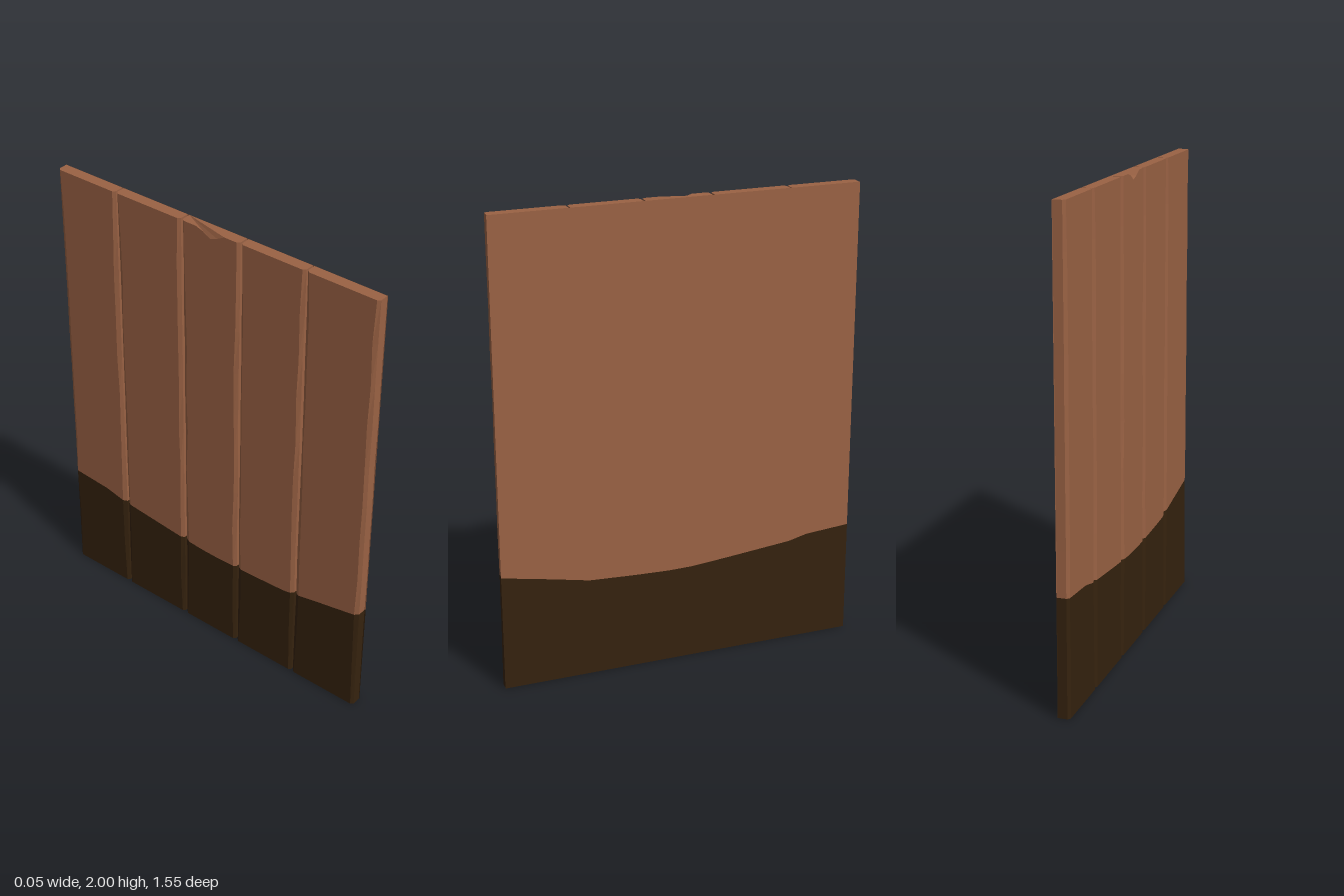
import * as THREE from 'three';

const H = 2, BACK = 0.021, FACE = -0.027;

// height of the dark band, as [z, y] points
const BAND = [[-0.775, 0.495], [-0.58, 0.48], [-0.5, 0.46], [-0.35, 0.445], [-0.2, 0.43], [-0.05, 0.417],
  [0.05, 0.415], [0.2, 0.42], [0.4, 0.43], [0.57, 0.465], [0.65, 0.48], [0.775, 0.505]];
function band(z) {
  for (let i = 1; i < BAND.length; i++) {
    const [z0, y0] = BAND[i - 1], [z1, y1] = BAND[i];
    if (z <= z1 || i === BAND.length - 1) return y0 + (y1 - y0) * THREE.MathUtils.clamp((z - z0) / (z1 - z0), 0, 1);
  }
}

// small seeded generator for the worn edges
let seed = 7;
const rand = () => (seed = (seed * 16807) % 2147483647) / 2147483647;

// closed skin over a stack of equal horizontal loops
function loft(loops, capBottom, capTop) {
  const n = loops[0].length, pos = loops.flat(2), index = [], last = (loops.length - 1) * n;
  for (let j = 0; j < loops.length - 1; j++) {
    for (let i = 0; i < n; i++) {
      const a = j * n + i, b = j * n + (i + 1) % n;
      index.push(a, b, b + n, a, b + n, a + n);
    }
  }
  for (let i = 1; i < n - 1; i++) {
    if (capBottom) index.push(0, i + 1, i);
    if (capTop) index.push(last, last + i, last + i + 1);
  }
  const g = new THREE.BufferGeometry();
  g.setAttribute('position', new THREE.Float32BufferAttribute(pos, 3));
  g.setIndex(index);
  const flat = g.toNonIndexed();
  flat.computeVertexNormals();
  return flat;
}

export function createModel() {
  const group = new THREE.Group();
  const wood = new THREE.MeshStandardMaterial({ color: 0x9a6244, side: THREE.DoubleSide });
  wood.name = 'brown wood';
  const dark = new THREE.MeshStandardMaterial({ color: 0x35220e, side: THREE.DoubleSide });
  dark.name = 'dark wood';
  const add = (geometry, material, name) => {
    const mesh = new THREE.Mesh(geometry, material);
    mesh.name = name;
    group.add(mesh);
  };

  // five planks with bevelled, slightly worn long edges
  const planks = [[-0.773, -0.475], [-0.468, -0.145], [-0.136, 0.142], [0.15, 0.446], [0.453, 0.773]];
  planks.forEach(([z0, z1], k) => {
    // one loop; t runs 0..1 through the dark part, 1..2 through the brown part
    const loop = (t) => {
      const wear = () => (t === 0 || t === 2 ? 0 : rand());
      const c0 = 0.011 + 0.008 * wear(), c1 = 0.011 + 0.008 * wear();
      const s0 = z0 + 0.003 * wear(), s1 = z1 - 0.003 * wear();
      const section = [[BACK, s0], [-0.017, s0], [FACE, s0 + c0]];
      for (let i = 1; i < 8; i++) section.push([FACE, THREE.MathUtils.lerp(z0, z1, i / 8)]);
      section.push([FACE, s1 - c1], [-0.017, s1], [BACK, s1]);
      return section.map(([x, z]) => {
        const b = band(z);
        let y = t <= 1 ? b * t : b + (H - b) * (t - 1);
        // chip in the top edge of the middle plank
        if (k === 2 && t === 2 && x === FACE) y -= 0.035 * Math.max(0, 1 - Math.abs(z - 0.01) / 0.06);
        return [x, y, z];
      });
    };
    const joint = loop(1);
    const lower = [loop(0), loop(0.5), joint];
    const upper = [joint];
    for (let j = 1; j <= 8; j++) upper.push(loop(1 + j / 8));
    add(loft(lower, true, false), dark, `plank${k + 1}Lower`);
    add(loft(upper, false, true), wood, `plank${k + 1}Upper`);
  });

  // flat backing sheet over the full width
  const sheet = (edgeY, material, name) => {
    const shape = new THREE.Shape();
    shape.moveTo(0.775, edgeY);
    BAND.forEach(([z, y]) => shape.lineTo(-z, y));
    shape.lineTo(-0.775, edgeY);
    const g = new THREE.ShapeGeometry(shape);
    g.rotateY(Math.PI / 2);
    g.translate(0.022, 0, 0);
    add(g, material, name);
  };
  sheet(0, dark, 'backingLower');
  sheet(H, wood, 'backingUpper');

  return group;
}
